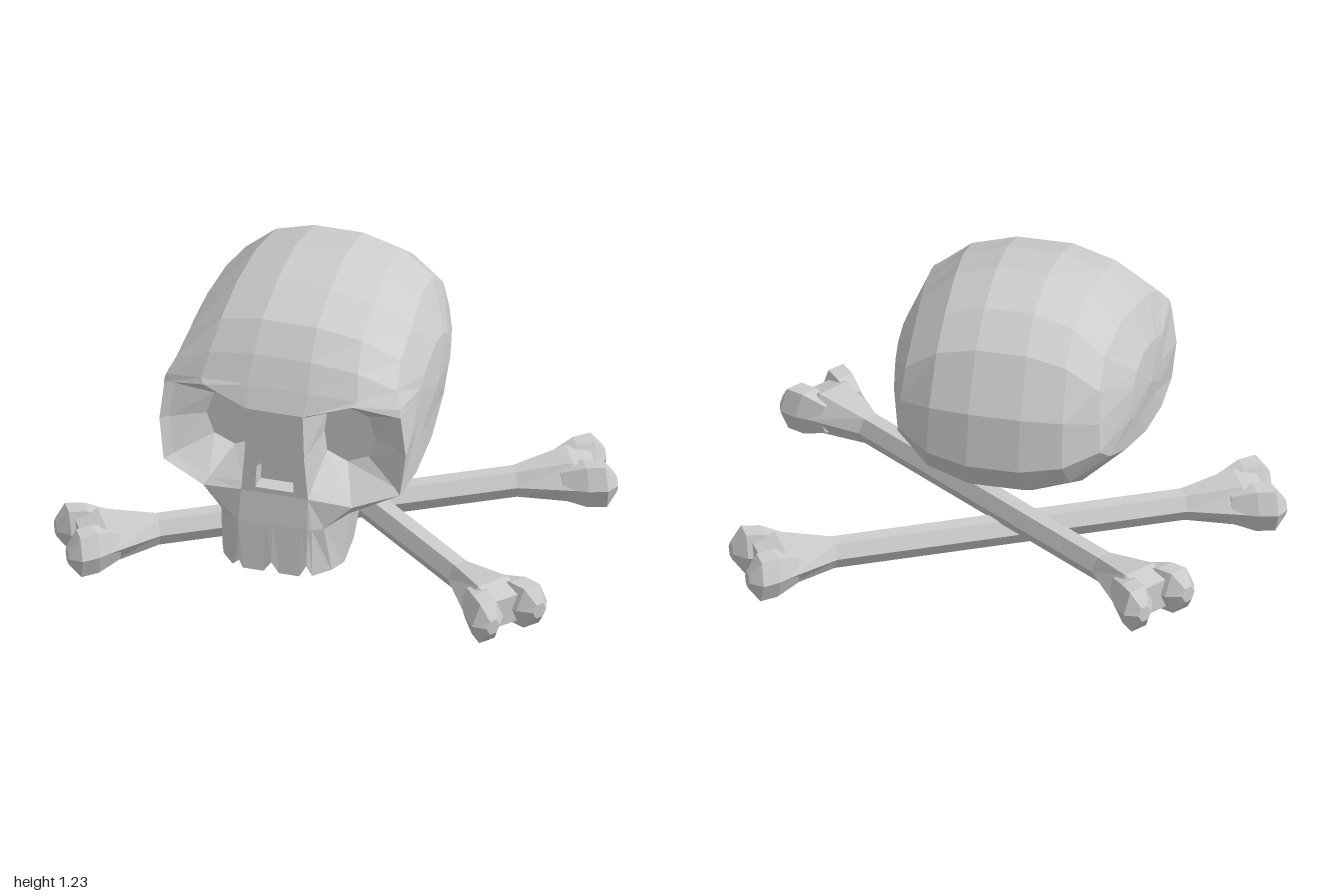
import * as THREE from 'three';

const bone = new THREE.MeshStandardMaterial({ color: 0xcccccc, side: THREE.DoubleSide });
bone.name = 'bone grey';

// Collects flat faces; face() fans a polygon, mirrored() adds its twin across x = 0
class Faces {
  constructor() { this.p = []; }
  face(...v) {
    for (let i = 1; i < v.length - 1; i++) this.p.push(...v[0], ...v[i], ...v[i + 1]);
  }
  mirrored(...v) {
    this.face(...v);
    this.face(...v.map(([x, y, z]) => [-x, y, z]).reverse());
  }
  mesh(name) {
    const g = new THREE.BufferGeometry();
    g.setAttribute('position', new THREE.Float32BufferAttribute(this.p, 3));
    g.computeVertexNormals();
    const m = new THREE.Mesh(g, bone);
    m.name = name;
    return m;
  }
}
const lerp = (a, b, t) => a.map((v, i) => v + (b[i] - v) * t);

// Eye rim, clockwise from the inner brow, and the smaller socket floor
const rim = [[.11, .86, .57], [.29, .91, .53], [.46, .86, .47], [.48, .7, .47],
  [.46, .535, .48], [.29, .48, .53], [.13, .51, .57], [.115, .68, .57]];
const socketFloor = [[.14, .78], [.22, .81], [.3, .78], [.33, .69], [.3, .61], [.22, .575], [.14, .61], [.13, .69]]
  .map(([x, y]) => [x, y, .36]);
const jawBack = [.23, .32, .24];
const cheek = [.25, .4, .44];

function cranium() {
  const f = new Faces();
  // Each row: midline z, y, then side edge z, y, half width; brow over the top to the underside
  const rows = [
    [.53, .94, .46, .89, .455], [.47, 1.04, .42, .945, .43], [.38, 1.14, .31, 1.01, .41],
    [.2, 1.21, .14, 1.06, .4], [0, 1.245, -.04, 1.09, .38], [-.23, 1.21, -.24, 1.065, .365],
    [-.37, 1.11, -.35, .98, .37], [-.49, .9, -.39, .86, .38], [-.52, .69, -.41, .75, .385],
    [-.45, .57, -.32, .68, .405], [-.32, .49, -.17, .62, .43], [-.2, .465, .06, .56, .455],
    [0, .4, .29, .53, .465],
  ].map(([mz, my, ez, ey, ex]) => [[0, 0], [.26, 0], [.67, .3], [1, 1]].map(([u, t]) =>
    [ex * u, my + (ey - my) * t, mz + (ez - mz) * t]));
  rows.unshift([[0, .86, .57], rim[0], rim[1], rim[2]]);
  rows.push([[0, .32, .24], [.1, .32, .24], jawBack, rim[4]]);
  for (let i = 0; i < rows.length - 1; i++)
    for (let j = 0; j < 3; j++)
      f.mirrored(rows[i][j], rows[i][j + 1], rows[i + 1][j + 1], rows[i + 1][j]);

  // Slightly domed temples
  const edge = [...rows.map(r => r[3]), rim[3]];
  const centre = [.475, .78, .06];
  const inner = edge.map(e => {
    const q = lerp(e, centre, .5);
    return [.458 + .035 * q[2], q[1], q[2]];
  });
  edge.forEach((e, i) => {
    const n = (i + 1) % edge.length;
    f.mirrored(e, inner[i], inner[n], edge[n]);
    f.mirrored(inner[i], centre, inner[n]);
  });
  return f.mesh('cranium');
}

function eyeSockets() {
  const f = new Faces();
  const lip = rim.map((r, i) => {
    const q = lerp(r, socketFloor[i], .2);
    return [q[0], q[1], r[2] - .03];
  });
  rim.forEach((r, i) => {
    const n = (i + 1) % 8;
    f.mirrored(r, lip[i], lip[n], rim[n]);
    f.mirrored(lip[i], socketFloor[i], socketFloor[n], lip[n]);
    f.mirrored(socketFloor[i], [.23, .69, .36], socketFloor[n]);
  });
  return f.mesh('eyeSockets');
}

function noseBridge() {
  const f = new Faces();
  const z = .57, [a, h, g] = [rim[0], rim[7], rim[6]];
  const hole = [[0, .68, z], [.07, .62, z], [.075, .53, z], [0, .53, z]];
  const deep = hole.map(([x, y]) => [x, y, z - .07]);
  f.mirrored([0, .86, z], hole[0], h, a);
  f.mirrored(hole[0], hole[1], h);
  f.mirrored(hole[1], hole[2], g, h);
  f.mirrored(hole[2], hole[3], [0, .51, z], g);
  for (let i = 0; i < 3; i++) f.mirrored(hole[i], deep[i], deep[i + 1], hole[i + 1]);
  f.mirrored(deep[0], deep[3], deep[2], deep[1]);
  return f.mesh('noseBridge');
}

function upperJaw() {
  const f = new Faces();
  const [e, fl, g] = [rim[4], rim[5], rim[6]];
  const top = [[0, .39, .59], [.03, .39, .59], [.11, .39, .59], [.135, .39, .59],
    [.15, .39, .585], [.19, .39, .56], cheek, jawBack];
  // Tooth line with notches
  const teeth = [[0, .24, .61], [.03, .2, .612], [.11, .2, .612], [.135, .245, .605],
    [.155, .2, .595], [.21, .2, .53], [.237, .2, .46], [.225, .215, .3]];
  for (let i = 0; i < 7; i++) {
    f.mirrored(top[i], teeth[i], teeth[i + 1], top[i + 1]);
    f.mirrored(teeth[i], [0, .265, .43], teeth[i + 1]);
  }
  // Cheeks joining the jaw to the eye rims
  f.mirrored([0, .51, .57], top[0], top[3], g);
  f.mirrored(g, top[3], top[4], top[5], fl);
  f.mirrored(fl, top[5], cheek);
  f.mirrored(fl, cheek, e);
  f.mirrored(e, cheek, jawBack);
  // Back and rear of the palate
  f.mirrored(jawBack, teeth[7], [0, .215, .3], [0, .32, .24]);
  f.mirrored(teeth[7], [0, .265, .43], [0, .215, .3]);
  return f.mesh('upperJaw');
}

// Lofts six-sided sections [x, z centre, half width, half thickness] along x
function loft(name, sections) {
  const f = new Faces();
  const rings = sections.map(([x, c, w, t]) => Array.from({ length: 6 }, (_, k) => {
    const a = k * Math.PI / 3;
    return [x, t * Math.sin(a) * 1.1, c + w * Math.cos(a)];
  }));
  for (let i = 0; i < rings.length - 1; i++)
    for (let k = 0; k < 6; k++) {
      const n = (k + 1) % 6;
      f.face(rings[i][k], rings[i + 1][k], rings[i + 1][n], rings[i][n]);
    }
  f.face(...rings[0]);
  f.face(...rings[rings.length - 1].slice().reverse());
  return f.mesh(name);
}

function crossBone(name, position, yaw, tilt) {
  const g = new THREE.Group();
  g.name = name;
  const half = [[.68, 0, .056, .055], [.89, 0, .135, .088], [.98, 0, .11, .06]];
  g.add(loft('shaft', [...half.map(([x, ...r]) => [-x, ...r]).reverse(), ...half]));
  for (const end of [-1, 1])
    for (const side of [-1, 1]) {
      const s = [[.84, .06, .05, .06], [.93, .085, .07, .088], [1, .1, .07, .088], [1.045, .105, .03, .03]]
        .map(([x, c, w, t]) => [end * x, side * c, w, t]);
      g.add(loft('knob', end < 0 ? s.reverse() : s));
    }
  g.position.set(...position);
  g.rotation.set(0, yaw, tilt);
  return g;
}

export function createModel() {
  const model = new THREE.Group();
  model.name = 'skullAndCrossbones';
  const skull = new THREE.Group();
  skull.name = 'skull';
  skull.add(cranium(), eyeSockets(), noseBridge(), upperJaw());
  skull.position.x = -.06;
  model.add(skull,
    crossBone('upperBone', [.075, .222, -.005], -.656, -.045),
    crossBone('lowerBone', [-.015, .13, -.052], .515, .03));
  return model;
}
